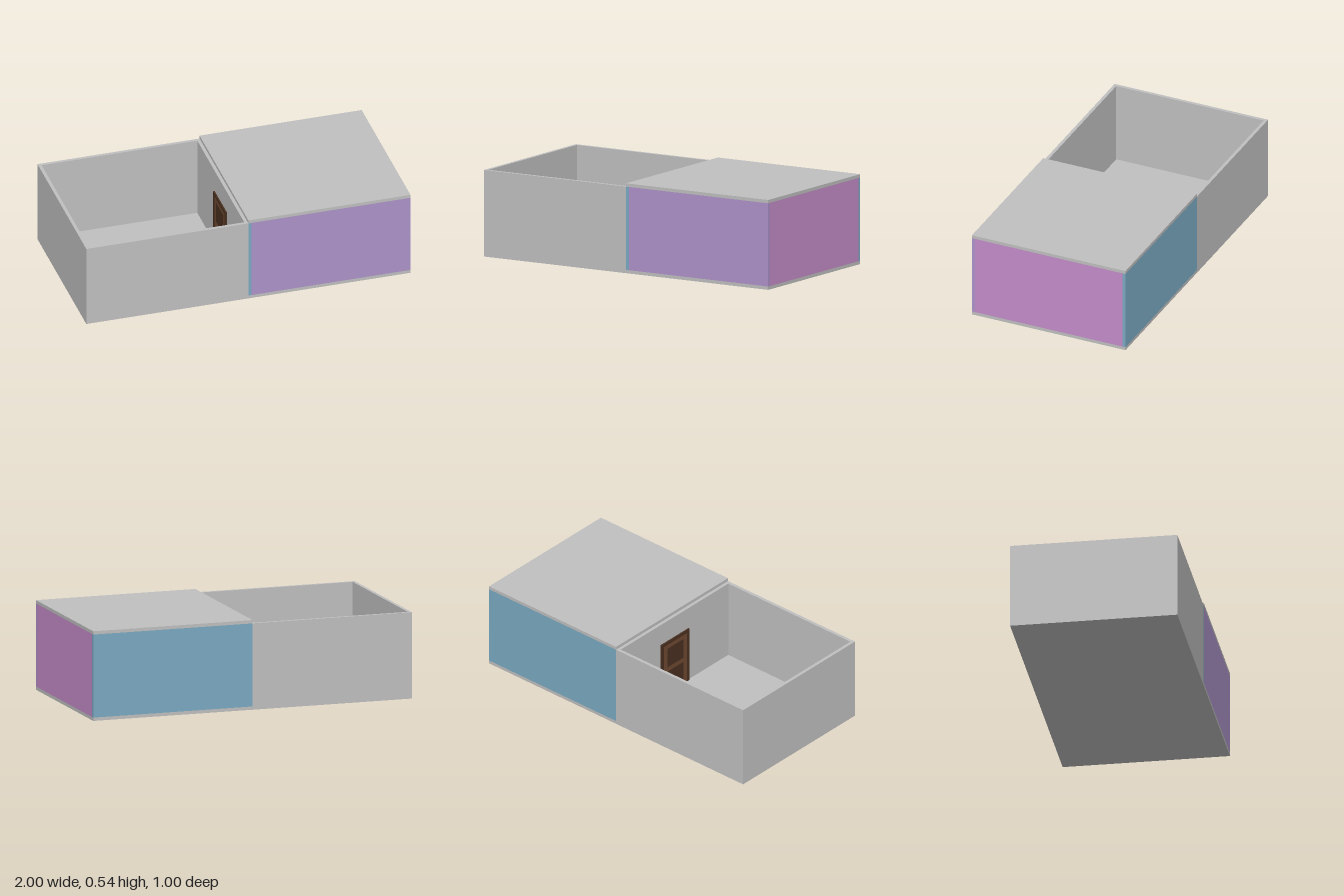
import * as THREE from 'three';

const material = (name, color) => {
  const m = new THREE.MeshStandardMaterial({ color });
  m.name = name;
  return m;
};

export function createModel() {
  const gray = material('concrete gray', 0xc0c0c0);
  const purple = material('front wall purple', 0xae93c9);
  const pink = material('end wall pink', 0xc58cc9);
  const blue = material('back wall blue', 0x7baac3);
  const brown = material('door brown', 0x6e4a31);
  const darkBrown = material('door frame brown', 0x4a3020);

  const model = new THREE.Group();
  model.name = 'room with open yard';

  // Box given by its minimum and maximum corners
  const block = (name, mat, [x0, y0, z0], [x1, y1, z1], parent = model) => {
    const mesh = new THREE.Mesh(new THREE.BoxGeometry(x1 - x0, y1 - y0, z1 - z0), mat);
    mesh.position.set((x0 + x1) / 2, (y0 + y1) / 2, (z0 + z1) / 2);
    mesh.name = name;
    parent.add(mesh);
  };

  const t = 0.02; // wall and slab thickness
  const top = 0.52; // wall top

  block('floorSlab', gray, [-1, 0, -0.5], [1, t, 0.5]);

  // Open yard
  block('yardFrontWall', gray, [-1, t, 0.5 - t], [0, top, 0.5]);
  block('yardBackWall', gray, [-1, t, -0.5], [0, top, -0.5 + t]);
  block('yardEndWall', gray, [-1, t, -0.5 + t], [-1 + t, top, 0.5 - t]);
  block('yardInnerWall', gray, [-t, t, -0.5 + t], [0, top, 0.5 - t]);

  // Closed room with coloured walls
  block('roomFrontWall', purple, [t, t, 0.5 - t], [1, top, 0.5]);
  block('roomBackWall', blue, [t, t, -0.5], [1, top, -0.5 + t]);
  block('roomEndWall', pink, [1 - t, t, -0.5 + t], [1, top, 0.5 - t]);
  block('roomInnerWall', blue, [0, t, -0.5], [t, top, 0.5]);
  block('roof', gray, [0, top, -0.5], [1, top + t, 0.5]);

  // Door between yard and room, with a raised frame and two panels
  const door = new THREE.Group();
  door.name = 'door';
  model.add(door);
  block('doorLeaf', brown, [-0.025, t, -0.105], [-t, 0.36, 0.105], door);
  for (const s of [-1, 1]) {
    block('doorJamb', darkBrown, [-0.029, t, s * 0.115 - 0.01], [-t, 0.38, s * 0.115 + 0.01], door);
  }
  block('doorLintel', darkBrown, [-0.029, 0.36, -0.105], [-t, 0.38, 0.105], door);
  for (const [y0, y1] of [[0.05, 0.17], [0.2, 0.33]]) {
    block('doorPanel', darkBrown, [-0.027, y0, -0.07], [-0.025, y1, 0.07], door);
  }

  return model;
}
